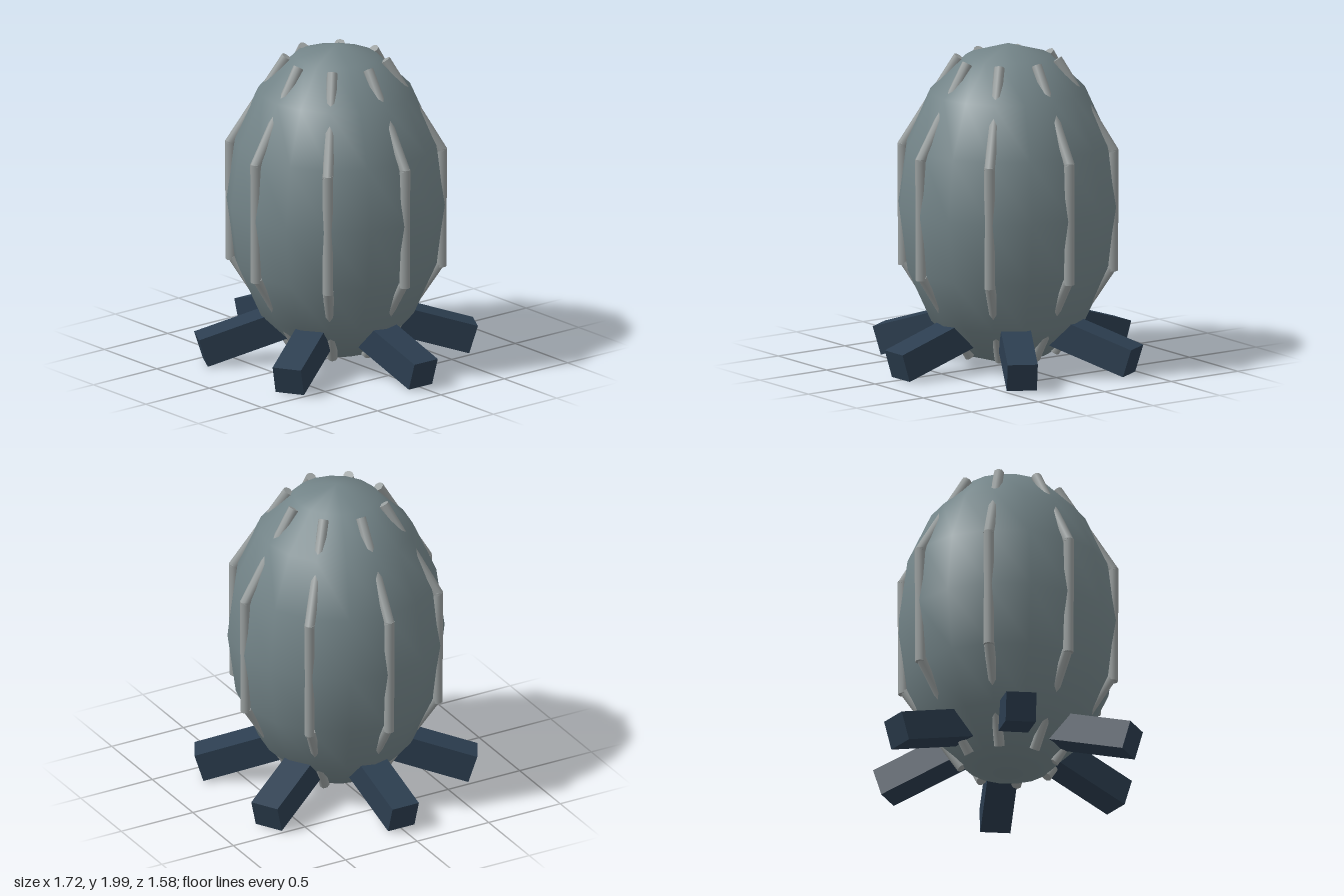
import * as THREE from 'three';

const bodyMat = new THREE.MeshStandardMaterial({ color: 0x738488 });
const ribMat = new THREE.MeshStandardMaterial({ color: 0x999f9f });
const legMat = new THREE.MeshStandardMaterial({ color: 0x2c3e50 });

const RIB_RADIUS = 0.033;
const Z_SCALE = 0.965; // the pod is slightly narrower front to back

// Straight rod between two [radius, height] points in the XY plane
function rod(name, [x0, y0], [x1, y1]) {
  const a = new THREE.Vector3(x0, y0, 0);
  const b = new THREE.Vector3(x1, y1, 0);
  const mesh = new THREE.Mesh(
    new THREE.CylinderGeometry(RIB_RADIUS, RIB_RADIUS, a.distanceTo(b), 8), ribMat);
  mesh.name = name;
  mesh.position.copy(a).add(b).multiplyScalar(0.5);
  mesh.quaternion.setFromUnitVectors(new THREE.Vector3(0, 1, 0), b.sub(a).normalize());
  return mesh;
}

export function createModel() {
  const model = new THREE.Group();
  model.name = 'ribbedPod';

  // Egg-shaped shell
  const pod = new THREE.Group();
  pod.name = 'pod';
  pod.scale.z = Z_SCALE;
  const body = new THREE.Mesh(new THREE.SphereGeometry(1, 16, 8), bodyMat);
  body.name = 'body';
  body.scale.set(0.684, 0.997, 0.684);
  body.position.y = 1.003;
  pod.add(body);

  // Eight ribs, each of three half-sunken rods
  for (let i = 0; i < 8; i++) {
    const rib = new THREE.Group();
    rib.name = 'rib';
    rib.add(
      rod('lowerRibRod', [0.287, 0.089], [0.641, 0.622]),
      rod('middleRibRod', [0.654, 0.605], [0.658, 1.36]),
      rod('upperRibRod', [0.662, 1.342], [0.307, 1.908]));
    rib.rotation.y = (i * Math.PI) / 4;
    pod.add(rib);
  }
  model.add(pod);

  // Six splayed block legs
  for (let i = 0; i < 6; i++) {
    const pivot = new THREE.Group();
    pivot.name = 'legPivot';
    const leg = new THREE.Mesh(new THREE.BoxGeometry(0.55, 0.18, 0.184), legMat);
    leg.name = 'leg';
    leg.position.set(0.57, 0.178, 0);
    leg.rotation.z = -0.305;
    pivot.add(leg);
    pivot.rotation.y = (i * Math.PI) / 3;
    model.add(pivot);
  }
  return model;
}
